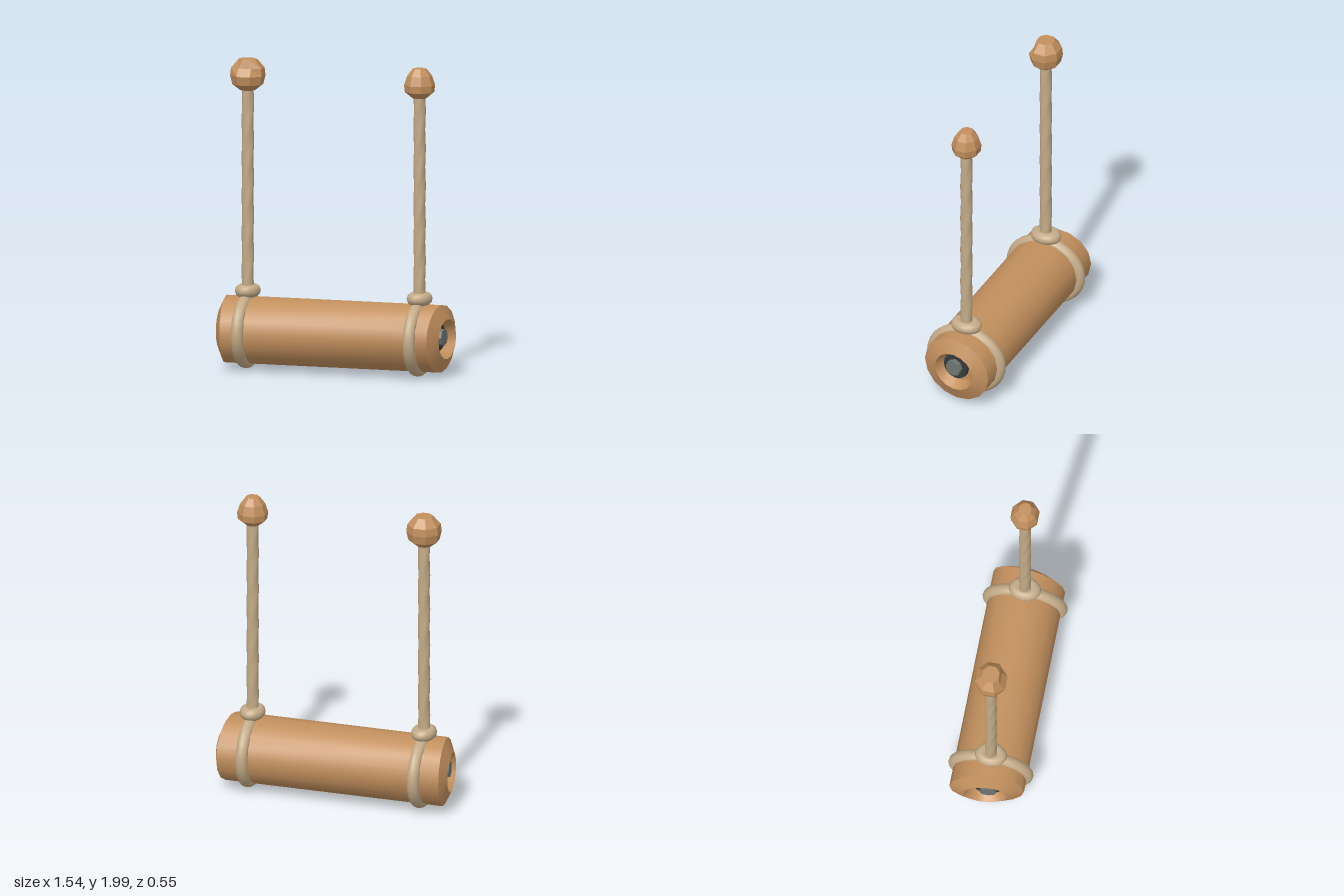
import * as THREE from 'three';
import { toCreasedNormals } from 'three/addons/utils/BufferGeometryUtils.js';

const mat = (name, color) => Object.assign(new THREE.MeshStandardMaterial({ color }), { name });

// Moves every vertex of a geometry by a rule, then rebuilds its normals.
function deform(geo, rule) {
  const p = geo.attributes.position;
  const v = new THREE.Vector3();
  for (let i = 0; i < p.count; i++) {
    v.fromBufferAttribute(p, i);
    rule(v);
    p.setXYZ(i, v.x, v.y, v.z);
  }
  geo.computeVertexNormals();
  return geo;
}

const lathe = (points, sides) =>
  new THREE.LatheGeometry(points.map(([r, y]) => new THREE.Vector2(r, y)), sides);

export function createModel() {
  const model = new THREE.Group();
  model.name = 'swing';
  const wood = mat('wood', 0xc28f5d);
  const rope = mat('rope', 0xc4ab88);
  const iron = mat('dark iron', 0x363a3b);
  const steel = mat('grey steel', 0x6f7472);

  const add = (name, geo, material, parent = model) => {
    const mesh = new THREE.Mesh(geo, material);
    mesh.name = name;
    parent.add(mesh);
    return mesh;
  };

  // Log with domed ends and a recess in each; the end cuts slant to the front
  const end = [[0.237, 0.715], [0.14, 0.757], [0.1, 0.692], [0, 0.692]];
  const profile = [...end.map(([r, x]) => [r, -x]).reverse(), ...end];
  const log = lathe(profile, 16).rotateZ(-Math.PI / 2);
  deform(log, (v) => {
    v.x -= Math.sign(v.x) * 0.11 * v.z;
    v.y = v.y * 0.92 + 0.255;
  });
  add('log', toCreasedNormals(log, 0.45), wood);

  // Twisted rope strand with slight bumps
  const strand = new THREE.CylinderGeometry(0.038, 0.038, 1.34, 14, 64, true);
  deform(strand, (v) => {
    const a = Math.atan2(v.z, v.x);
    const k = 1 + 0.05 * Math.sin(3 * a + v.y * 26);
    v.x *= k;
    v.z *= k;
  });

  // Knob outlines: the right one is blunt, the left one tapers
  const bluntKnob = [[0, 1.8], [0.05, 1.8], [0.1, 1.838], [0.114, 1.895], [0.108, 1.945], [0.06, 2], [0, 2]];
  const taperedKnob = [[0, 1.795], [0.045, 1.8], [0.095, 1.84], [0.1, 1.885], [0.08, 1.945], [0.045, 1.99], [0, 1.992]];

  for (const s of [-1, 1]) {
    const side = new THREE.Group();
    side.name = s > 0 ? 'leftRope' : 'rightRope';
    side.position.x = s * 0.572;
    model.add(side);

    // Loop around the log, knot on top, hanging strand
    const loop = add('ropeLoop', new THREE.TorusGeometry(0.235, 0.04, 12, 36).rotateY(Math.PI / 2), rope, side);
    loop.position.y = 0.252;
    loop.scale.y = 0.885;
    const knot = add('knot', new THREE.TorusGeometry(0.05, 0.04, 10, 20).rotateX(Math.PI / 2), rope, side);
    knot.position.y = 0.508;
    knot.scale.set(0.9, 1, 1.15);
    add('ropeStrand', strand, rope, side).position.y = 1.15;

    // Faceted knob, dented at the upper front on the right side
    const knobGeo = lathe(s > 0 ? taperedKnob : bluntKnob, 8).rotateY(Math.PI / 8).toNonIndexed();
    deform(knobGeo, (v) => {
      if (s < 0 && v.z > 0.08 && v.y > 1.92) v.z *= 0.7;
      v.z *= 0.95;
    });
    add('knob', knobGeo, wood, side);

    // Bolt in the end recess
    const bolt = new THREE.Group();
    bolt.name = s > 0 ? 'leftBolt' : 'rightBolt';
    bolt.position.set(s * 0.688, 0.268, 0.008);
    bolt.rotation.y = -s * 0.11;
    model.add(bolt);
    const addDisc = (name, r, depth, sides, material) => {
      const geo = new THREE.CylinderGeometry(r * 0.96, r, depth, sides).rotateZ(-s * Math.PI / 2).toNonIndexed();
      geo.computeVertexNormals();
      add(name, geo, material, bolt).position.x = s * depth / 2;
    };
    addDisc('washer', 0.09, 0.024, 16, iron);
    addDisc('boltHead', 0.056, 0.054, 8, steel);
  }
  return model;
}
